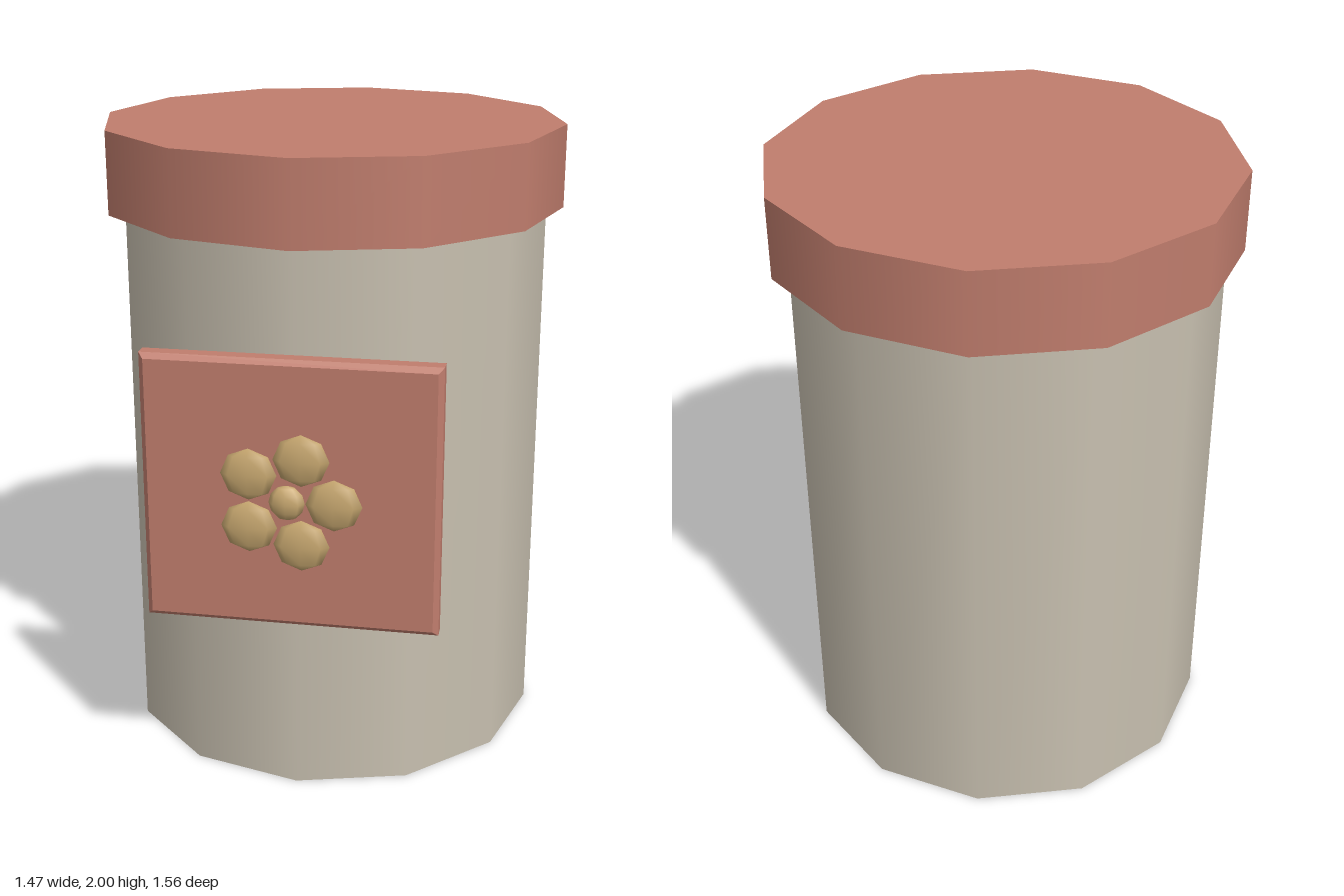
import * as THREE from 'three';

export function createModel() {
  const model = new THREE.Group();
  model.name = 'canister';
  const mat = (name, color) => {
    const m = new THREE.MeshStandardMaterial({ color });
    m.name = name;
    return m;
  };
  const stone = mat('warm grey', 0xc8c0b0);
  const clay = mat('terracotta', 0xc07d6d);
  const gold = mat('tan gold', 0xc8a870);

  const add = (name, geometry, material, x, y, z, parent = model) => {
    const mesh = new THREE.Mesh(geometry, material);
    mesh.name = name;
    mesh.position.set(x, y, z);
    parent.add(mesh);
    return mesh;
  };

  // Twelve-sided jar with smooth walls, and its overhanging lid
  const axisZ = -0.043;
  add('body', new THREE.CylinderGeometry(0.682, 0.682, 1.74, 12), stone, 0, 0.87, axisZ);
  add('lid', new THREE.CylinderGeometry(0.736, 0.736, 0.26, 12), clay, 0, 1.87, axisZ);

  // Label plate with chamfered edges
  const bevel = 0.016, w = 0.895 / 2 - bevel, h = 0.84 / 2 - bevel;
  const outline = new THREE.Shape([
    new THREE.Vector2(-w, -h), new THREE.Vector2(w, -h),
    new THREE.Vector2(w, h), new THREE.Vector2(-w, h),
  ]);
  const plate = new THREE.ExtrudeGeometry(outline, {
    depth: 0.075 - 2 * bevel, bevelEnabled: true,
    bevelThickness: bevel, bevelSize: bevel, bevelSegments: 1,
  });
  add('labelPlate', plate, clay, 0, 1.003, 0.632 + bevel);

  // Flower: five flattened petals around a small centre
  const flower = new THREE.Group();
  flower.name = 'flower';
  flower.position.set(0, 1.003, 0.748);
  model.add(flower);
  const petal = new THREE.SphereGeometry(0.084, 8, 4).scale(1, 0.95, 0.29);
  for (let i = 0; i < 5; i++) {
    const a = (i / 5) * Math.PI * 2;
    add('petal' + (i + 1), petal, gold, 0.14 * Math.cos(a), 0.14 * Math.sin(a), 0, flower);
  }
  add('flowerCentre', new THREE.SphereGeometry(0.054, 8, 6).scale(1, 1, 0.55), gold, 0, 0, 0, flower);

  return model;
}
